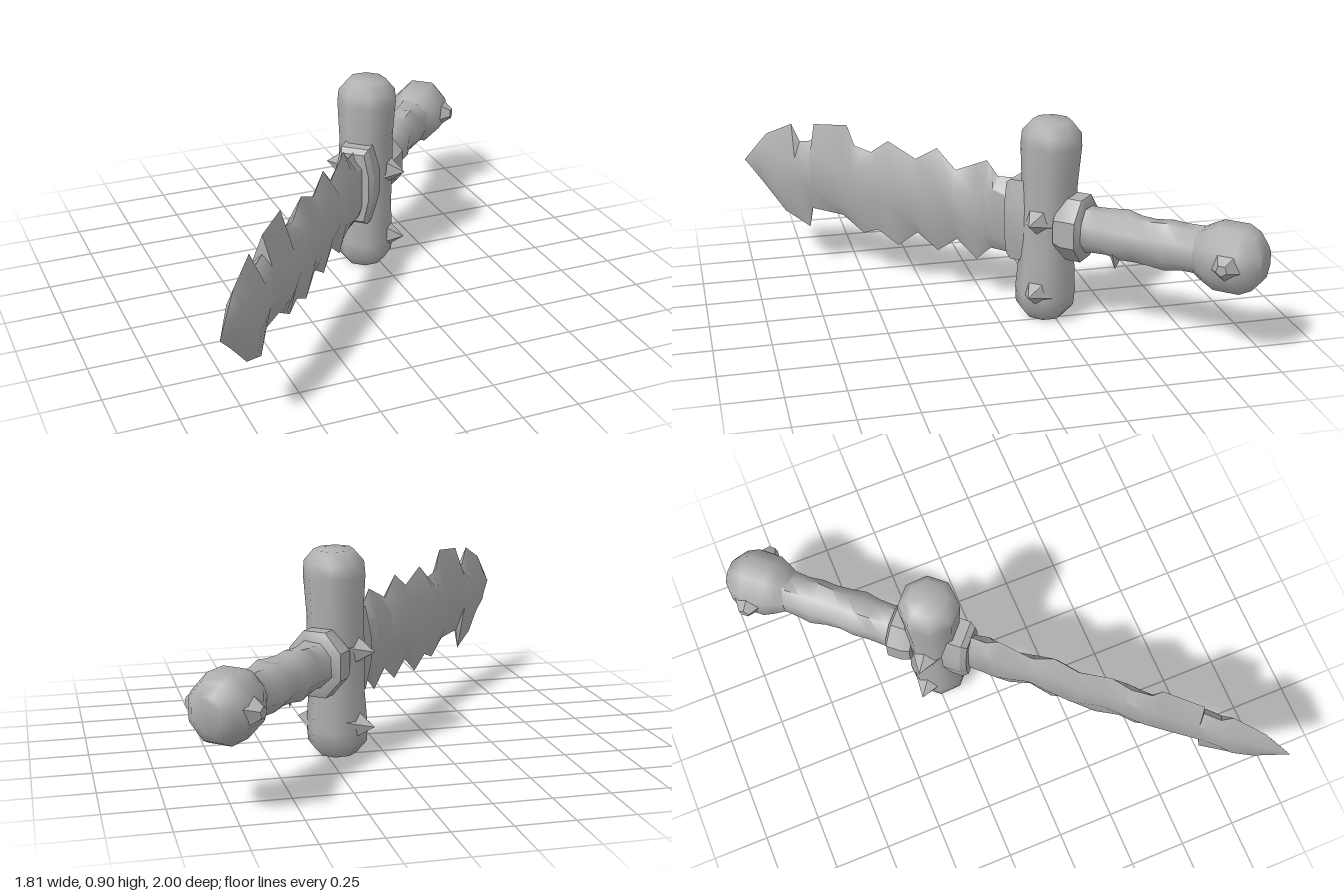
import * as THREE from 'three';
import { toCreasedNormals } from 'three/addons/utils/BufferGeometryUtils.js';

// Closed loft along x: each section is { x, ring: [[y, z], ...] }, turning from +y towards +z
function loft(sections, crease) {
  const pos = [], idx = [], n = sections[0].ring.length, last = (sections.length - 1) * n;
  for (const { x, ring } of sections) for (const [y, z] of ring) pos.push(x, y, z);
  for (let i = 0; i < sections.length - 1; i++) {
    for (let k = 0; k < n; k++) {
      const a = i * n + k, b = i * n + (k + 1) % n;
      idx.push(a, b, b + n, a, b + n, a + n);
    }
  }
  for (let k = 1; k < n - 1; k++) {
    idx.push(0, k + 1, k, last, last + k, last + k + 1);
  }
  const g = new THREE.BufferGeometry();
  g.setAttribute('position', new THREE.Float32BufferAttribute(pos, 3));
  g.setIndex(idx);
  return toCreasedNormals(g, crease);
}

// Round section with separate y and z radii
function oval(x, cy, ry, rz, sides = 8, turn = 0, wobble = 0) {
  const ring = [];
  for (let k = 0; k < sides; k++) {
    const a = (k / sides) * Math.PI * 2 + turn;
    const r = 1 + wobble * Math.sin(k * 2.3 + x * 17);
    ring.push([cy + ry * r * Math.cos(a), rz * r * Math.sin(a)]);
  }
  return { x, ring };
}

// Height of a jagged outline at x
function heightAt(line, x) {
  for (let i = 1; i < line.length; i++) {
    const [x0, y0] = line[i - 1], [x1, y1] = line[i];
    if (x <= x1) return y0 + (y1 - y0) * (x - x0) / (x1 - x0);
  }
  return line[line.length - 1][1];
}

export function createModel() {
  const model = new THREE.Group();
  model.name = 'dagger';
  model.rotation.y = THREE.MathUtils.degToRad(48.1);

  const stone = new THREE.MeshStandardMaterial({ color: 0xb0b0b0 });
  stone.name = 'grey stone';
  const add = (name, geometry) => {
    const mesh = new THREE.Mesh(geometry, stone);
    mesh.name = name;
    model.add(mesh);
    return mesh;
  };

  // Blade: chipped upper and lower edges around a thick core
  const upper = [[-1.343, .47], [-1.206, .62], [-1.055, .69], [-1.01, .61], [-.932, .625], [-.925, .707],
    [-.738, .727], [-.70, .635], [-.61, .616], [-.515, .683], [-.37, .62], [-.256, .688], [-.16, .60],
    [0, .67], [.055, .605], [.26, .62]];
  const lower = [[-1.343, .47], [-1.24, .375], [-1.11, .245], [-.968, .188], [-.95, .285], [-.775, .28],
    [-.66, .21], [-.58, .24], [-.47, .183], [-.364, .265], [-.256, .197], [-.155, .27], [-.054, .193],
    [.02, .26], [.26, .25]];
  const stations = [...new Set([...upper, ...lower].map(p => p[0]))].sort((a, b) => a - b);
  add('blade', loft(stations.map(x => {
    const t = heightAt(upper, x), b = heightAt(lower, x);
    const grow = Math.min(1, (x + 1.343) / 0.2);
    const w = 0.042 * grow;
    const mid = 0.47 - 0.018 * (x + 1.343);
    const ct = mid + grow * (0.085 + 0.03 * Math.sin(x * 19));
    const cb = mid - grow * (0.085 + 0.03 * Math.sin(x * 16 + 1));
    const wf = w * (1 + 0.12 * Math.sin(x * 23)), wb = w * (1 + 0.12 * Math.sin(x * 21 + 2));
    return { x, ring: [[t, 0], [ct, wf], [cb, wf], [b, 0], [cb, -wb], [ct, -wb]] };
  }), 0.75));

  // Socket where the blade enters the guard
  const socket = (x, h, d) => ({ x, ring: [[.44 + h, -d * .7], [.44 + h, d * .7], [.5, d],
    [.38, d], [.44 - h, d * .7], [.44 - h, -d * .7], [.38, -d], [.5, -d]] });
  add('bladeSocket', loft([socket(.125, .165, .075), socket(.15, .185, .092), socket(.25, .185, .092)], 0.4));

  // Guard: upright rounded bar with swollen ends
  const profile = [[0, 0], [.085, 0], [.128, .05], [.133, .12], [.122, .28], [.125, .45], [.122, .62],
    [.133, .79], [.128, .85], [.085, .9], [0, .9]].map(p => new THREE.Vector2(...p));
  const guard = add('guard', toCreasedNormals(new THREE.LatheGeometry(profile, 8, Math.PI / 8), 0.95));
  guard.position.x = .29;
  guard.rotation.z = -0.03;

  // Blunt knobs on both faces of the guard
  for (const side of [1, -1]) {
    for (const y of [.14, .47]) {
      const knob = add('guardKnob', toCreasedNormals(new THREE.ConeGeometry(.075, .1, 5), 0.4));
      knob.position.set(.305, y, side * .14);
      knob.rotation.x = side * Math.PI / 2;
    }
  }

  // Collar between guard and grip
  add('gripCollar', loft([oval(.38, .435, .13, .12, 8, Math.PI / 8), oval(.42, .435, .152, .133, 8, Math.PI / 8),
    oval(.485, .435, .152, .133, 8, Math.PI / 8), oval(.5, .435, .12, .105, 8, Math.PI / 8)], 0.5));

  // Grip: uneven worn shaft
  const grip = [];
  for (let i = 0; i <= 9; i++) {
    const r = .1 + .006 * Math.cos(i * 2.1);
    grip.push(oval(.46 + i * .068, .437 - i * .001, r * 1.05, r * .95, 8, Math.PI / 8, .05));
  }
  add('grip', loft(grip, 1));

  // Small chip hanging below the grip
  const chip = add('gripChip', toCreasedNormals(new THREE.ConeGeometry(.035, .08, 4), 0.4));
  chip.position.set(.64, .325, .03);
  chip.rotation.x = Math.PI;

  // Pommel: rounded knob
  const knob = [[1.0, .1], [1.04, .125], [1.09, .15], [1.2, .15], [1.25, .125], [1.29, .075]];
  add('pommel', loft(knob.map(([x, r]) => oval(x, .427, r, r * .92, 8, Math.PI / 8)), 1));

  // Pointed studs on both sides of the pommel
  for (const side of [1, -1]) {
    const stud = add('pommelStud', toCreasedNormals(new THREE.CylinderGeometry(.025, .08, .07, 5), 0.4));
    stud.position.set(1.16, .427, side * .135);
    stud.rotation.x = side * Math.PI / 2;
  }

  return model;
}
